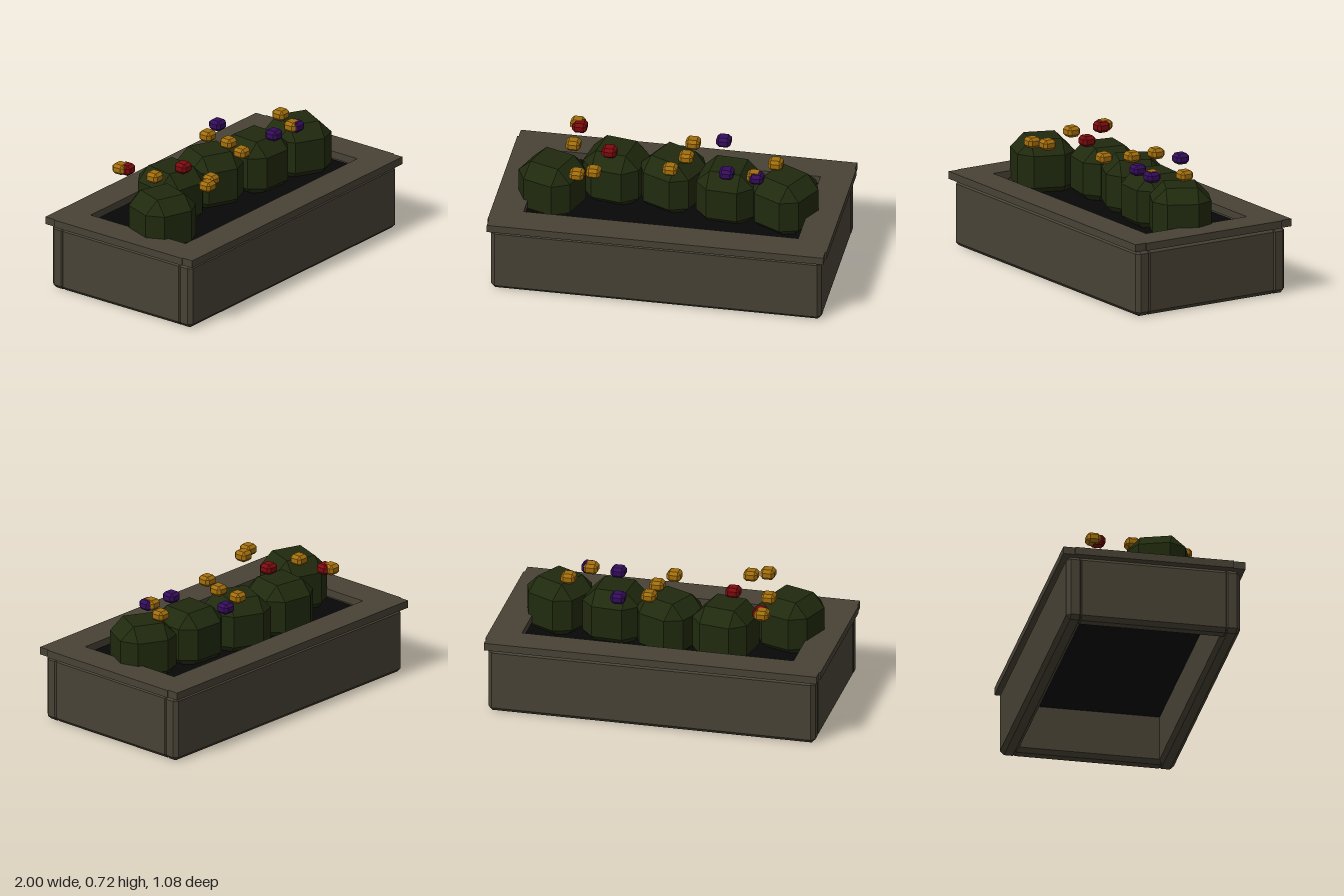
import * as THREE from 'three';
import { ConvexGeometry } from 'three/addons/geometries/ConvexGeometry.js';

const mat = (name, color) => {
  const m = new THREE.MeshStandardMaterial({ color });
  m.name = name;
  return m;
};

// Box with a single flat chamfer on every edge and corner
function chamferBox(w, h, d, c) {
  const pts = [];
  const half = [w / 2, h / 2, d / 2];
  for (const sx of [-1, 1]) for (const sy of [-1, 1]) for (const sz of [-1, 1]) {
    const s = [sx, sy, sz];
    for (let axis = 0; axis < 3; axis++) {
      const p = half.map((v, i) => s[i] * (i === axis ? v : v - c));
      pts.push(new THREE.Vector3(...p));
    }
  }
  return new ConvexGeometry(pts);
}

export function createModel() {
  const model = new THREE.Group();
  model.name = 'flowerPlanter';

  const stone = mat('stone', 0x484235);
  const earth = mat('soil', 0x070707);
  const leaf = mat('leaf', 0x202a0e);
  const petals = {
    yellow: mat('yellowPetal', 0xa46f0c),
    red: mat('redPetal', 0x7d0a0e),
    purple: mat('purplePetal', 0x350d5c),
  };

  const add = (name, geometry, material, x, y, z, turn = 0) => {
    const mesh = new THREE.Mesh(geometry, material);
    mesh.name = name;
    mesh.position.set(x, y, z);
    mesh.rotation.y = THREE.MathUtils.degToRad(turn);
    model.add(mesh);
  };

  // Walls and rim boards, mirrored; the box is open underneath
  const longWall = chamferBox(1.95, 0.398, 0.1, 0.024);
  const endWall = chamferBox(0.1, 0.398, 0.9, 0.024);
  const longRim = new THREE.BoxGeometry(1.984, 0.045, 0.19);
  const endRim = new THREE.BoxGeometry(0.19, 0.045, 0.94);
  for (const s of [-1, 1]) {
    const side = s > 0 ? ['front', 'left'] : ['back', 'right'];
    add(side[0] + 'Wall', longWall, stone, 0, 0.201, s * 0.465);
    add(side[1] + 'Wall', endWall, stone, s * 0.924, 0.201, 0);
    add(side[0] + 'Rim', longRim, stone, 0, 0.4225, s * 0.444);
    add(side[1] + 'Rim', endRim, stone, s * 0.905, 0.4225, 0);
  }

  // Soil slab
  add('soil', new THREE.BoxGeometry(1.77, 0.065, 0.85), earth, 0, 0.3275, 0);

  // Bushes: x, z, turn in degrees
  const bush = chamferBox(0.344, 0.35, 0.344, 0.08);
  [
    [-0.69, 0.085, -20], [-0.35, -0.118, -10], [-0.01, -0.097, -25],
    [0.33, -0.027, -4], [0.672, 0.02, -28],
  ].forEach(([x, z, turn], i) => add('bush' + (i + 1), bush, leaf, x, 0.488, z, turn));

  // Blossoms: x, z for each colour; tiny height steps keep overlaps clean
  const blossom = chamferBox(0.084, 0.062, 0.084, 0.017);
  const spots = {
    yellow: [[-0.607, -0.285], [-0.59, -0.05], [-0.418, 0.23], [-0.508, 0.275], [0.09, -0.19],
      [0.08, -0.03], [0.013, 0.12], [0.507, 0.107], [0.603, -0.053]],
    red: [[-0.59, -0.255], [-0.37, -0.012]],
    purple: [[0.26, -0.25], [0.342, 0.1], [0.522, 0.12]],
  };
  for (const [colour, list] of Object.entries(spots)) {
    const y = colour === 'yellow' ? 0.69 : 0.688;
    list.forEach(([x, z], i) => add(colour + 'Blossom' + (i + 1), blossom, petals[colour], x, y, z));
  }
  return model;
}
